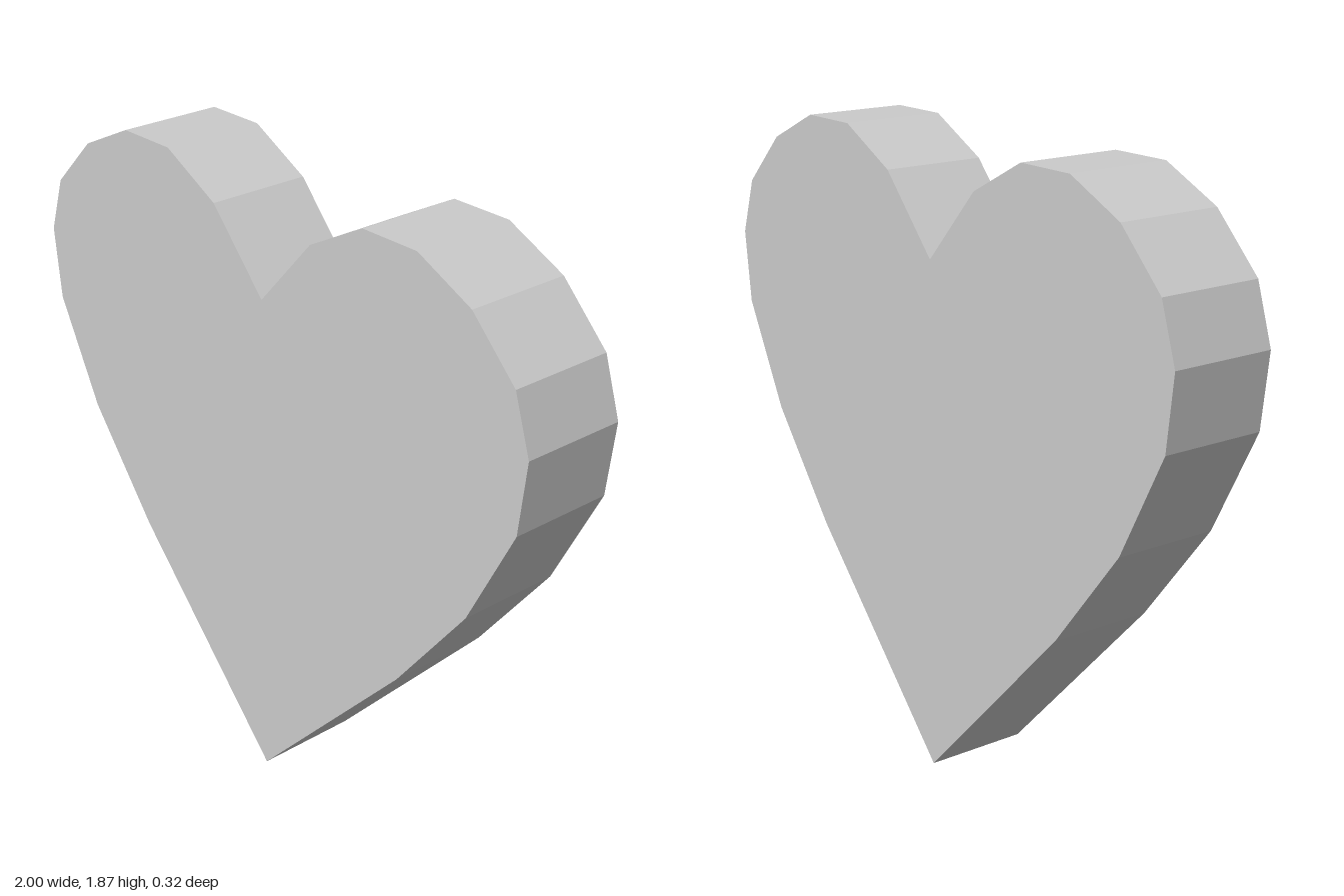
import * as THREE from 'three';

export function createModel() {
  const group = new THREE.Group();
  group.name = 'heart';

  // Half outline from bottom tip to top notch
  const half = [
    [0, 0], [0.565, 0.6], [0.815, 0.92], [0.975, 1.235], [1, 1.455], [0.945, 1.625],
    [0.79, 1.78], [0.597, 1.87], [0.4, 1.87], [0.2, 1.765], [0, 1.545],
  ].map(([x, y]) => new THREE.Vector2(x, y));

  // Mirror the half, skipping the two points on the centre line
  const mirrored = half.slice(1, -1).reverse().map((p) => new THREE.Vector2(-p.x, p.y));
  const outline = new THREE.Shape([...half, ...mirrored]);

  // Flat slab with faceted sides, centred in depth
  const depth = 0.32;
  const geometry = new THREE.ExtrudeGeometry(outline, { depth, bevelEnabled: false });
  geometry.translate(0, 0, -depth / 2);

  const material = new THREE.MeshStandardMaterial({ color: 0xcccccc, flatShading: true });
  const body = new THREE.Mesh(geometry, material);
  body.name = 'heartBody';
  group.add(body);
  return group;
}
